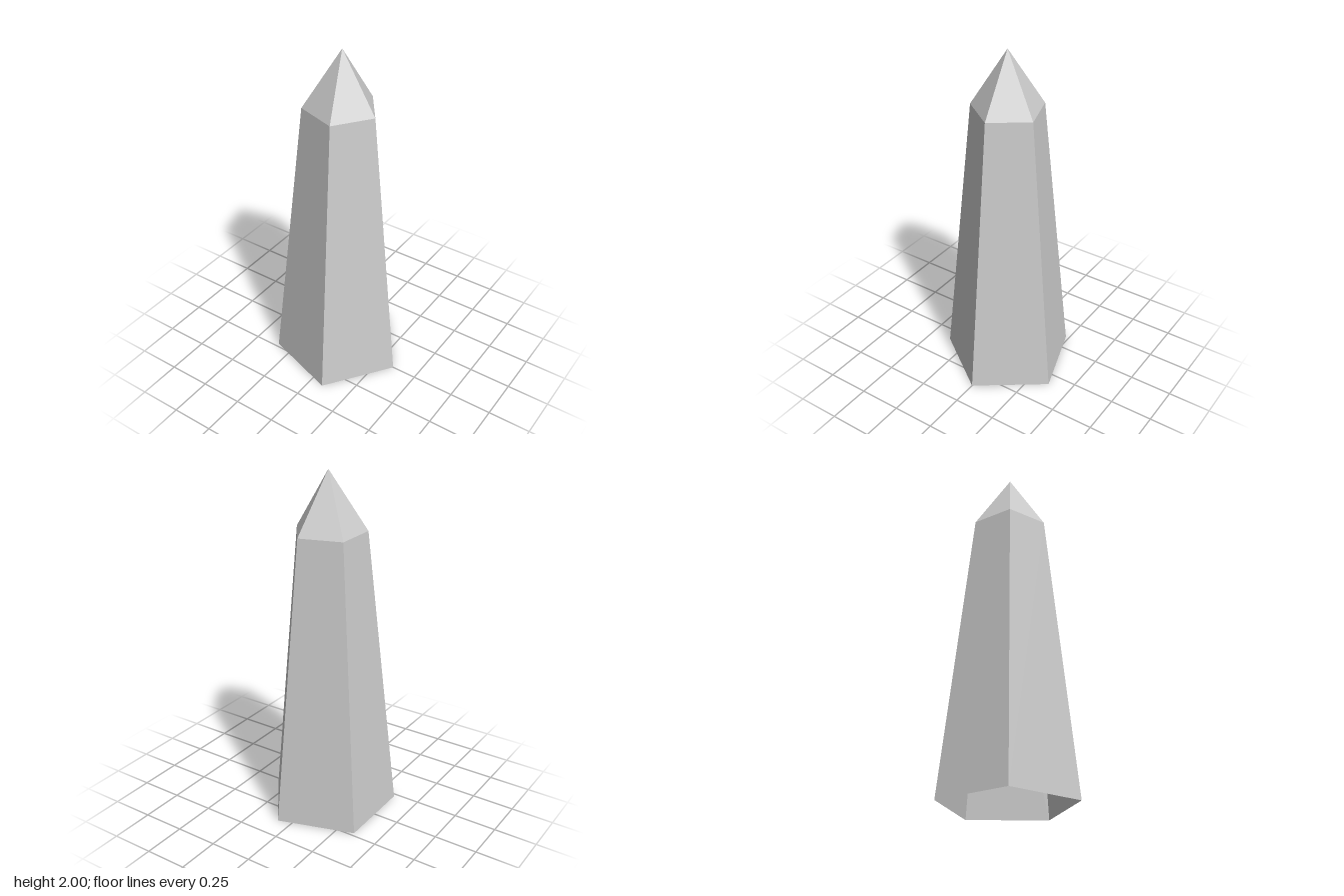
import * as THREE from 'three';

const SIDES = 5;

// Open five-sided band between two levels {y, r, x}; a radius of 0 makes a point
function band(name, low, high, material) {
  const corner = (level, i) => {
    const a = (i / SIDES) * Math.PI * 2;
    return [level.x + level.r * Math.cos(a), level.y, level.r * Math.sin(a)];
  };
  const points = [];
  for (let i = 0; i < SIDES; i++) {
    const a = corner(low, i), b = corner(low, i + 1);
    const c = corner(high, i + 1), d = corner(high, i);
    points.push(...a, ...d, ...b);
    if (high.r > 0) points.push(...b, ...d, ...c);
  }
  const geometry = new THREE.BufferGeometry();
  geometry.setAttribute('position', new THREE.Float32BufferAttribute(points, 3));
  geometry.computeVertexNormals();
  const mesh = new THREE.Mesh(geometry, material);
  mesh.name = name;
  return mesh;
}

export function createModel() {
  const group = new THREE.Group();
  group.name = 'crystalObelisk';
  const material = new THREE.MeshStandardMaterial({
    color: 0xcccccc, flatShading: true, side: THREE.DoubleSide,
  });

  // Slightly leaning levels, hollow and open underneath
  const base = { y: 0, r: 0.388, x: -0.037 };
  const shoulder = { y: 1.666, r: 0.21, x: -0.025 };
  const apex = { y: 2, r: 0, x: -0.02 };

  group.add(band('shaft', base, shoulder, material));
  group.add(band('tip', shoulder, apex, material));
  return group;
}
